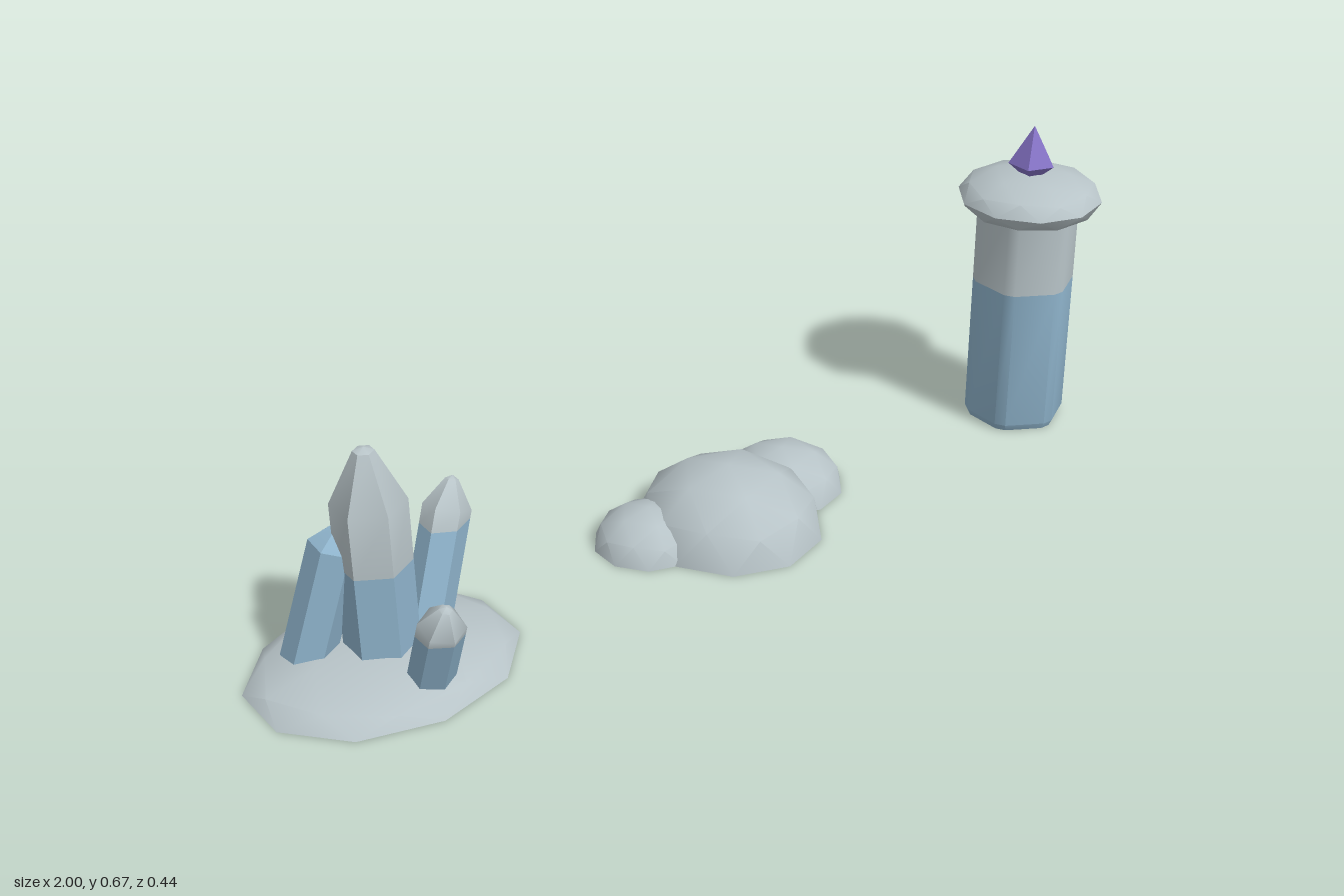
import * as THREE from 'three';
import { toCreasedNormals } from 'three/addons/utils/BufferGeometryUtils.js';

const material = (name, color) => {
  const m = new THREE.MeshStandardMaterial({ color });
  m.name = name;
  return m;
};

// Creases are found at a larger scale, since vertices are matched coarsely
function crease(geometry, angle) {
  geometry.scale(100, 100, 100);
  const g = toCreasedNormals(geometry, angle);
  return g.scale(0.01, 0.01, 0.01);
}

// Skin over rings of points (counter-clockwise from above), with optional end caps
function loft(rings, capBottom, capTop) {
  const pos = [];
  const tri = (...pts) => pts.forEach((p) => pos.push(p.x, p.y, p.z));
  const n = rings[0].length;
  for (let r = 0; r < rings.length - 1; r++) {
    for (let i = 0; i < n; i++) {
      const j = (i + 1) % n, lo = rings[r], hi = rings[r + 1];
      tri(lo[i], lo[j], hi[j]);
      tri(lo[i], hi[j], hi[i]);
    }
  }
  const bottom = rings[0], top = rings[rings.length - 1];
  for (let i = 1; i < n - 1; i++) {
    if (capBottom) tri(bottom[0], bottom[i + 1], bottom[i]);
    if (capTop) tri(top[0], top[i], top[i + 1]);
  }
  const g = new THREE.BufferGeometry();
  g.setAttribute('position', new THREE.Float32BufferAttribute(pos, 3));
  return crease(g, 0.65);
}

// Squashed low-poly ball standing on a pole, flattened below the given height
function dome(rx, ry, rz, floor) {
  const g = new THREE.IcosahedronGeometry(1, 1);
  g.rotateZ(Math.atan(2 / (1 + Math.sqrt(5))));
  g.scale(rx, ry, rz);
  const p = g.attributes.position;
  for (let i = 0; i < p.count; i++) p.setY(i, Math.max(p.getY(i), floor));
  return crease(g, 0.7);
}

export function createModel() {
  const stone = material('pale stone', 0xb8c4c8);
  const blue = material('crystal blue', 0x8fb4cc);
  const purple = material('purple gem', 0x8674c8);

  const model = new THREE.Group();
  model.name = 'crystalSet';
  const add = (parent, name, geometry, mat, x = 0, y = 0, z = 0) => {
    const mesh = new THREE.Mesh(geometry, mat);
    mesh.name = name;
    mesh.position.set(x, y, z);
    parent.add(mesh);
  };
  const group = (name) => {
    const g = new THREE.Group();
    g.name = name;
    model.add(g);
    return g;
  };

  // Boulders: three overlapping flat-bottomed lumps
  const boulders = group('boulders');
  [
    ['mainBoulder', 0.05, 0, 0.19, 0.14, 0.198],
    ['leftBoulder', 0.235, -0.058, 0.13, 0.09, 0.128],
    ['rightBoulder', -0.115, -0.045, 0.115, 0.08, 0.112],
  ].forEach(([name, x, z, rx, ry, rz]) => add(boulders, name, dome(rx, ry, rz, 0), stone, x, 0, z));

  // Crystal cluster on a low mound
  const cluster = group('crystalCluster');
  add(cluster, 'mound', dome(0.265, 0.055, 0.217, 0), stone, -0.747, 0, 0);

  // Six-sided crystal from base to tip, blue below a level line and pale above
  function crystal(name, base, tip, radius, taper, split) {
    const from = new THREE.Vector3(...base), axis = new THREE.Vector3(...tip).sub(from);
    const length = axis.length();
    axis.normalize();
    const turn = new THREE.Quaternion().setFromUnitVectors(new THREE.Vector3(0, 1, 0), axis);
    const ring = (r, h) => Array.from({ length: 6 }, (_, i) => {
      const a = Math.PI / 2 + (i * Math.PI) / 3;
      return new THREE.Vector3(r * Math.cos(a), h, -r * Math.sin(a)).applyQuaternion(turn).add(from);
    });
    const foot = ring(radius, 0);
    const head = [ring(radius, length - taper), ring(radius * 0.28, length - 0.007), ring(radius * 0.02, length)];
    if (split === null) {
      add(cluster, name, loft([foot, ...head], true, true), blue);
      return;
    }
    const line = foot.map((p) => p.clone().addScaledVector(axis, (split - p.y) / axis.y));
    add(cluster, name + 'Body', loft([foot, line], true, false), blue);
    add(cluster, name + 'Point', loft([line, ...head], false, true), stone);
  }
  crystal('tallCrystal', [-0.745, 0.01, -0.003], [-0.75, 0.456, -0.003], 0.07, 0.11, 0.22);
  crystal('rearCrystal', [-0.865, 0.02, -0.07], [-0.785, 0.295, -0.045], 0.05, 0.045, null);
  crystal('leftCrystal', [-0.635, 0.02, -0.035], [-0.533, 0.285, -0.082], 0.046, 0.06, 0.205);
  crystal('frontCrystal', [-0.72, 0.02, 0.122], [-0.72, 0.219, 0.199], 0.044, 0.052, 0.145);

  // Pillar: hexagonal column with trimmed corners
  const pillar = group('pillar');
  const column = (scale, y) => Array.from({ length: 12 }, (_, i) => {
    const a = Math.PI / 2 + (Math.floor(i / 2) * Math.PI) / 3 + (i % 2 ? 0.112 : -0.112);
    return new THREE.Vector3(0.1077 * scale * Math.cos(a), y, -0.1077 * scale * Math.sin(a));
  });
  add(pillar, 'columnLower', loft([column(0.93, 0), column(1, 0.015), column(1, 0.327)], true, false), blue, 0.85);
  add(pillar, 'columnUpper', loft([column(1, 0.327), column(1, 0.51)], false, true), stone, 0.85);
  add(pillar, 'cap', dome(0.153, 0.055, 0.152, -0.04), stone, 0.852, 0.517, 0);

  // Five-sided gem on the cap
  const gem = (top, bottom, height) =>
    crease(new THREE.CylinderGeometry(top, bottom, height, 5, 1, false, Math.PI / 2).toNonIndexed(), 0.3);
  const point = crease(new THREE.ConeGeometry(0.05, 0.082, 5, 1, true, Math.PI / 2).toNonIndexed(), 0.3);
  add(pillar, 'gemPoint', point, purple, 0.852, 0.631, 0);
  add(pillar, 'gemFoot', gem(0.05, 0.022, 0.025), purple, 0.852, 0.5775, 0);

  return model;
}
